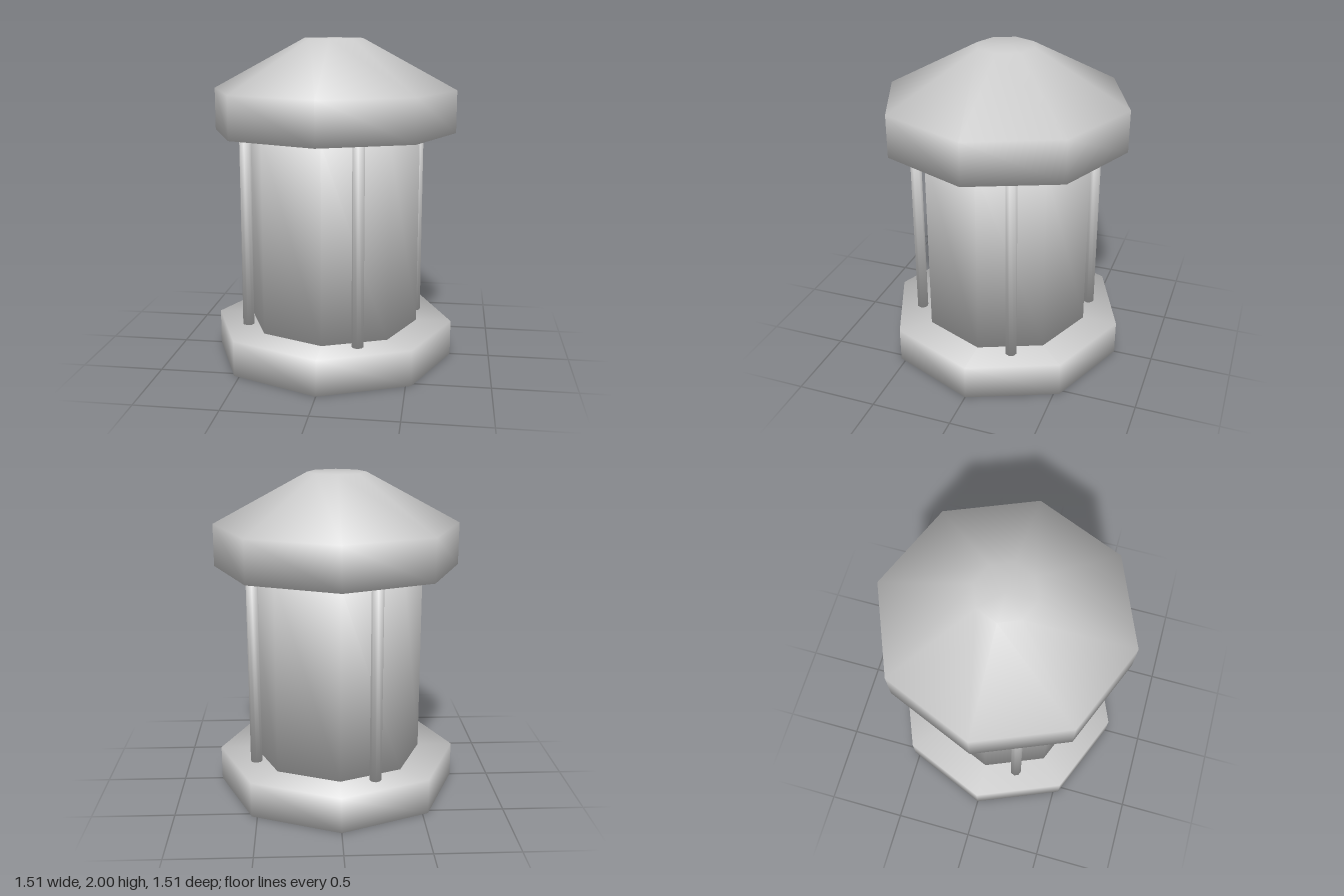
import * as THREE from 'three';
import { mergeVertices } from 'three/addons/utils/BufferGeometryUtils.js';

const stone = new THREE.MeshStandardMaterial({ color: 0xcccccc });
stone.name = 'paleGrey';

// Shared vertex normals, each face weighted by its corner angle
function smoothByAngle(geo) {
  const pos = geo.attributes.position, idx = geo.index;
  const sums = Array.from({ length: pos.count }, () => new THREE.Vector3());
  for (let f = 0; f < idx.count; f += 3) {
    const ids = [0, 1, 2].map((k) => idx.getX(f + k));
    const p = ids.map((i) => new THREE.Vector3().fromBufferAttribute(pos, i));
    const n = p[1].clone().sub(p[0]).cross(p[2].clone().sub(p[0]));
    if (n.length() < 1e-9) continue;
    n.normalize();
    ids.forEach((id, k) => {
      const a = p[(k + 1) % 3].clone().sub(p[k]);
      const b = p[(k + 2) % 3].clone().sub(p[k]);
      sums[id].addScaledVector(n, a.angleTo(b));
    });
  }
  const normals = new Float32Array(pos.count * 3);
  sums.forEach((n, i) => n.normalize().toArray(normals, i * 3));
  geo.setAttribute('normal', new THREE.BufferAttribute(normals, 3));
  return geo;
}

// Closed eight-sided solid from a profile of [radius, height], bottom to top
function octagonal(name, profile) {
  const points = profile.map(([r, y]) => new THREE.Vector2(r, y));
  let geo = new THREE.LatheGeometry(points, 8);
  geo.deleteAttribute('uv');
  geo.deleteAttribute('normal');
  geo = smoothByAngle(mergeVertices(geo, 1e-4));
  const mesh = new THREE.Mesh(geo, stone);
  mesh.name = name;
  return mesh;
}

export function createModel() {
  const model = new THREE.Group();
  model.name = 'lanternPavilion';

  // Base slab, drum and roof
  model.add(octagonal('base', [[0, 0], [0.755, 0], [0.755, 0.22], [0, 0.22]]));
  model.add(octagonal('body', [[0, 0.22], [0.535, 0.22], [0.535, 1.43], [0, 1.43]]));
  model.add(octagonal('roof', [[0, 1.43], [0.755, 1.43], [0.755, 1.69], [0.18, 2], [0, 2]]));

  // Four slim posts, each in front of every second side of the drum
  const posts = new THREE.Group();
  posts.name = 'posts';
  for (let i = 0; i < 4; i++) {
    const post = octagonal('post', [[0, 0.22], [0.036, 0.22], [0.036, 1.43], [0, 1.43]]);
    const angle = Math.PI / 8 + (i * Math.PI) / 2;
    post.position.set(0.557 * Math.sin(angle), 0, 0.557 * Math.cos(angle));
    posts.add(post);
  }
  model.add(posts);
  return model;
}
